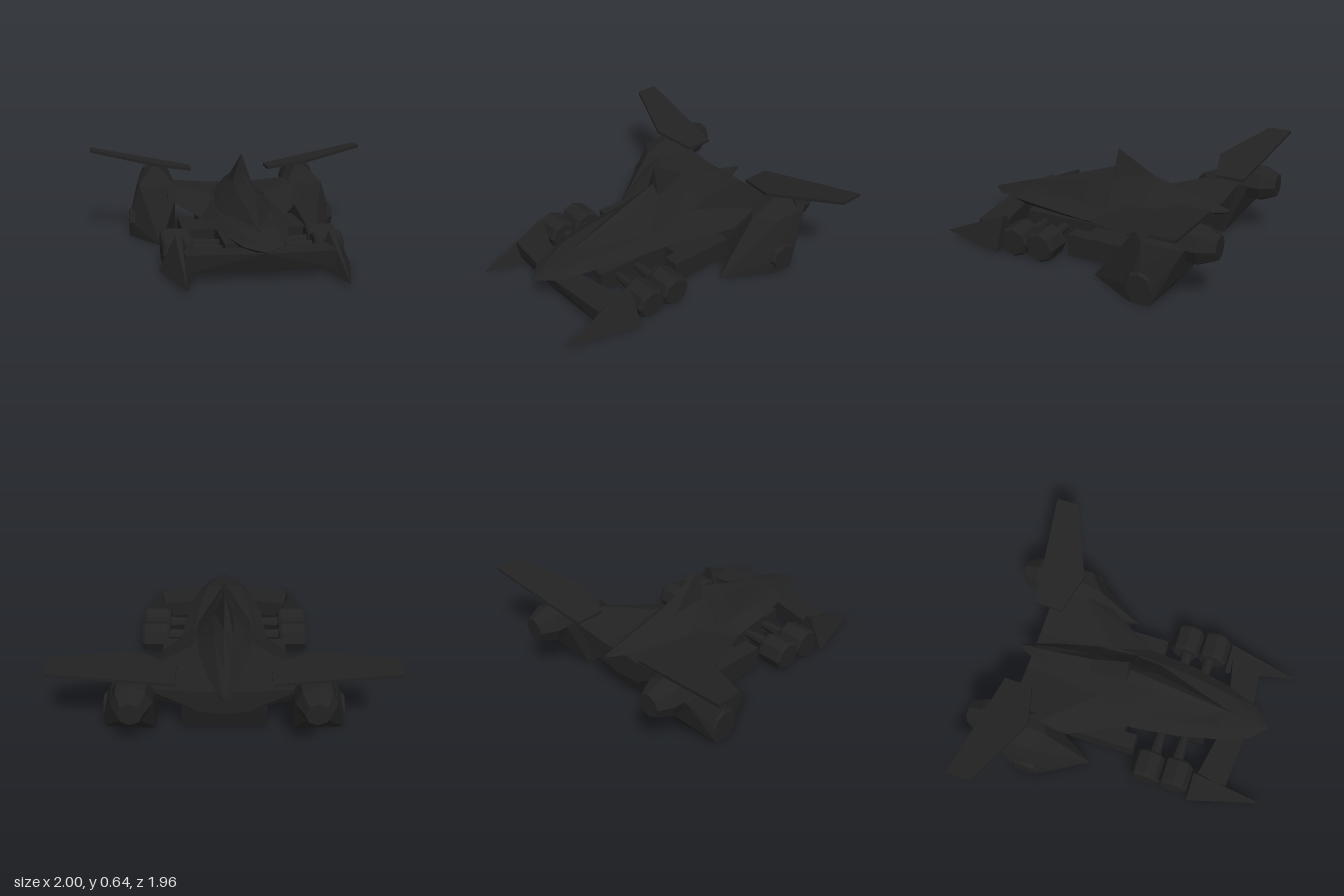
import * as THREE from 'three';
import { ConvexGeometry } from 'three/addons/geometries/ConvexGeometry.js';

const black = new THREE.MeshStandardMaterial({ color: 0x222222 });

// Give every facet its own flat normal
function faceted(geometry) {
  const g = geometry.index ? geometry.toNonIndexed() : geometry;
  g.computeVertexNormals();
  return g;
}

function hull(points) {
  return new ConvexGeometry(points.map(p => new THREE.Vector3(...p)));
}

// Skin through symmetric cross-sections; each is [z, half profile from top to bottom]
function loft(sections) {
  const pos = [], index = [];
  const n = sections[0][1].length * 2;
  for (const [z, half] of sections) {
    const left = half.map(([x, y]) => [x, y, z]);
    const right = half.map(([x, y]) => [-x, y, z]).reverse();
    for (const p of [...left, ...right]) pos.push(...p);
  }
  for (let s = 0; s < sections.length - 1; s++) {
    for (let i = 0; i < n; i++) {
      const a = s * n + i, b = s * n + (i + 1) % n;
      index.push(a, a + n, b, b, a + n, b + n);
    }
  }
  // End caps
  const last = (sections.length - 1) * n;
  for (let i = 1; i < n - 1; i++) {
    index.push(0, i, i + 1);
    index.push(last, last + i + 1, last + i);
  }
  // Turn all faces outward by the sign of the enclosed volume
  const at = i => new THREE.Vector3(pos[i * 3], pos[i * 3 + 1], pos[i * 3 + 2]);
  let volume = 0;
  for (let i = 0; i < index.length; i += 3) {
    volume += at(index[i]).dot(at(index[i + 1]).cross(at(index[i + 2])));
  }
  if (volume < 0) index.reverse();
  const g = new THREE.BufferGeometry();
  g.setAttribute('position', new THREE.Float32BufferAttribute(pos, 3));
  g.setIndex(index);
  return g;
}

function box(x0, x1, y0, y1, z0, z1) {
  return new THREE.BoxGeometry(x1 - x0, y1 - y0, z1 - z0)
    .translate((x0 + x1) / 2, (y0 + y1) / 2, (z0 + z1) / 2);
}

// Eight-sided wheel with bevelled rims, axle along x
function wheel(x, y, z, radius, width) {
  const h = width / 2, r = radius;
  const profile = [[0, -h], [r * 0.85, -h], [r, -h * 0.8], [r, h * 0.8], [r * 0.85, h], [0, h]];
  return new THREE.LatheGeometry(profile.map(p => new THREE.Vector2(...p)), 8)
    .rotateZ(Math.PI / 2).translate(x, y, z);
}

export function createModel() {
  const model = new THREE.Group();

  function add(name, geometry) {
    const mesh = new THREE.Mesh(faceted(geometry), black);
    mesh.name = name;
    model.add(mesh);
  }

  // Build the left part, then its mirror with the winding restored
  function addPair(name, geometry) {
    const left = faceted(geometry);
    add('left' + name, left);
    const p = left.attributes.position, points = [];
    for (let i = 0; i < p.count; i += 3) {
      for (const j of [i, i + 2, i + 1]) points.push(-p.getX(j), p.getY(j), p.getZ(j));
    }
    const right = new THREE.BufferGeometry();
    right.setAttribute('position', new THREE.Float32BufferAttribute(points, 3));
    add('right' + name, right);
  }

  // Main fuselage with pointed nose
  add('fuselage', loft([
    [0.88, [[0, 0.205], [0.004, 0.203], [0.006, 0.2], [0.003, 0.197], [0, 0.196]]],
    [0.77, [[0, 0.235], [0.05, 0.23], [0.115, 0.21], [0.05, 0.18], [0, 0.175]]],
    [0.57, [[0, 0.28], [0.12, 0.275], [0.19, 0.23], [0.11, 0.165], [0, 0.14]]],
    [0.3, [[0, 0.29], [0.17, 0.28], [0.25, 0.235], [0.15, 0.165], [0, 0.13]]],
    [0.03, [[0, 0.31], [0.19, 0.285], [0.28, 0.225], [0.18, 0.165], [0, 0.13]]],
    [-0.25, [[0, 0.34], [0.19, 0.33], [0.28, 0.25], [0.18, 0.165], [0, 0.14]]],
    [-0.75, [[0, 0.35], [0.19, 0.34], [0.26, 0.28], [0.17, 0.2], [0, 0.18]]],
  ]));

  // Canopy rising to a tall dorsal fin, then tapering to the tail
  add('canopy', loft([
    [0.63, [[0, 0.272], [0.005, 0.27], [0.01, 0.262], [0, 0.255]]],
    [0.1, [[0, 0.46], [0.06, 0.42], [0.175, 0.28], [0, 0.25]]],
    [-0.07, [[0, 0.52], [0.06, 0.46], [0.19, 0.29], [0, 0.25]]],
    [-0.08, [[0, 0.64], [0.06, 0.46], [0.19, 0.3], [0, 0.25]]],
    [-0.33, [[0, 0.5], [0.06, 0.44], [0.175, 0.32], [0, 0.27]]],
    [-0.63, [[0, 0.42], [0.04, 0.4], [0.1, 0.33], [0, 0.28]]],
    [-0.85, [[0, 0.365], [0.003, 0.36], [0.005, 0.35], [0, 0.345]]],
  ]));

  // Recessed floor between two long rails, closed by a solid tail block
  add('floor', box(-0.19, 0.19, 0.11, 0.165, -0.36, 0.5));
  addPair('Rail', box(0.13, 0.19, 0.025, 0.165, -0.36, 0.5));
  add('tailBlock', hull([-1, 1].flatMap(s => [
    [s * 0.26, 0.025, -0.66], [s * 0.26, 0.025, -0.36], [s * 0.26, 0.165, -0.7],
    [s * 0.26, 0.165, -0.36], [s * 0.2, 0.28, -0.74], [s * 0.2, 0.25, -0.36],
  ])));
  addPair('SidePod', box(0.3, 0.405, 0.02, 0.165, -0.38, 0.07));
  addPair('PodBracket', box(0.18, 0.32, 0.05, 0.15, -0.34, -0.02));

  // Swept shoulders joining the fuselage to the rear nacelles
  addPair('Shoulder', hull([
    [0.18, 0.34, -0.25], [0.47, 0.37, -0.55], [0.47, 0.37, -0.75], [0.1, 0.34, -0.75],
    [0.2, 0.22, 0.01], [0.28, 0.225, 0], [0.47, 0.29, -0.36],
    [0.2, 0.21, -0.1], [0.47, 0.27, -0.7], [0.2, 0.23, -0.75],
  ]));

  // Rear nacelles with a forward-pointing spike at the foot
  addPair('Nacelle', hull([
    [0.535, 0.495, -0.78], [0.535, 0.36, -0.46],
    [0.66, 0.36, -0.56], [0.66, 0.36, -0.82], [0.41, 0.36, -0.56], [0.41, 0.36, -0.82],
    [0.41, 0.27, -0.48], [0.41, 0.15, -0.66], [0.54, 0.25, -0.85], [0.7, 0.24, -0.58],
    [0.73, 0.11, -0.53], [0.73, 0.11, -0.66], [0.73, 0.005, -0.53], [0.73, 0.005, -0.65],
    [0.7, 0.005, -0.47], [0.42, 0.005, -0.52], [0.42, 0.005, -0.67], [0.535, 0.005, -0.19],
  ]));
  addPair('RearWheel', wheel(0.595, 0.105, -0.58, 0.1, 0.275));

  // Engine nozzles
  addPair('Engine', new THREE.CylinderGeometry(0.075, 0.122, 0.1, 8)
    .rotateX(-Math.PI / 2).translate(0.53, 0.365, -0.935));
  addPair('EngineCollar', new THREE.CylinderGeometry(0.122, 0.122, 0.13, 8)
    .rotateX(-Math.PI / 2).translate(0.53, 0.365, -0.82));

  // Thin rear wings tilted up toward the tips
  const planform = [[0.28, -0.83], [0.28, -0.645], [0.54, -0.57], [1, -0.76], [1, -0.915]];
  addPair('RearWing', hull(planform.flatMap(([x, z]) => {
    const y = 0.443 + (x - 0.28) * 0.185;
    return [[x, y, z], [x, y + 0.02, z]];
  })));

  // Front wheels in tandem on tapered axles
  for (const z of [0.195, 0.385]) {
    addPair('FrontWheel', wheel(0.467, 0.105, z, 0.102, 0.185));
    addPair('FrontAxle', new THREE.CylinderGeometry(0.042, 0.025, 0.24, 8)
      .rotateZ(-Math.PI / 2).translate(0.28, 0.105, z + (z < 0.3 ? 0.02 : -0.015)));
  }

  // Swept front crossbar and spiked fairings
  addPair('FrontBar', hull([
    [0, 0.05, 0.73], [0, 0.165, 0.76], [0, 0.05, 0.61], [0, 0.165, 0.61],
    [0.45, 0.05, 0.71], [0.45, 0.16, 0.72], [0.45, 0.05, 0.52], [0.45, 0.16, 0.52],
  ]));
  addPair('FrontSpike', hull([
    [0.46, 0.025, 0.975], [0.36, 0.02, 0.5], [0.59, 0.02, 0.5], [0.45, 0.23, 0.5], [0.49, 0.23, 0.5],
  ]));

  return model;
}
